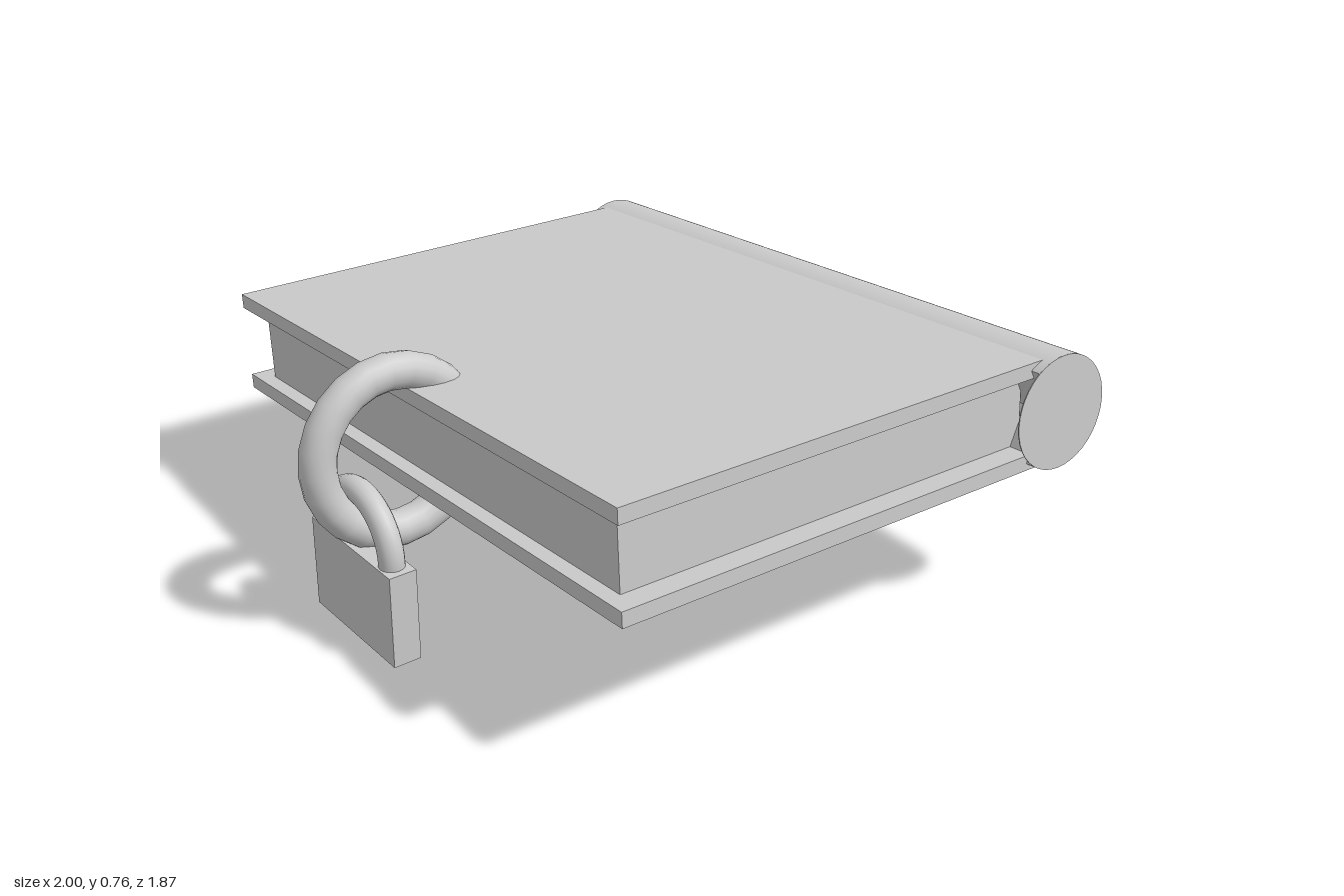
import * as THREE from 'three';

export function createModel() {
  const model = new THREE.Group();
  const smooth = new THREE.MeshStandardMaterial({ color: 0xcccccc });
  const flat = new THREE.MeshStandardMaterial({ color: 0xcccccc, flatShading: true });

  const add = (parent, name, geometry, material, x = 0, y = 0, z = 0) => {
    const mesh = new THREE.Mesh(geometry, material);
    mesh.name = name;
    mesh.position.set(x, y, z);
    parent.add(mesh);
    return mesh;
  };

  // Book, raised on its left side
  const book = new THREE.Group();
  book.name = 'book';
  book.position.set(-0.002, 0.512, 0);
  book.rotation.z = 0.0745;
  model.add(book);

  for (const [name, side] of [['topCover', 1], ['bottomCover', -1]]) {
    add(book, name, new THREE.BoxGeometry(1.926, 0.043, 1.37), flat, 0, side * 0.1285, -0.065);
  }
  add(book, 'pages', new THREE.BoxGeometry(1.79, 0.216, 1.3), flat, 0, 0, -0.075);

  // Rounded spine with a notch facing the pages
  const r = 0.158, length = 1.98, notch = 0.965;
  const profile = new THREE.Shape();
  profile.moveTo(-0.03, 0);
  profile.lineTo(-r * Math.cos(notch), r * Math.sin(notch));
  profile.absarc(0, 0, r, Math.PI - notch, Math.PI + notch, true);
  profile.closePath();
  const spineGeometry = new THREE.ExtrudeGeometry(profile, {
    depth: length, bevelEnabled: false, curveSegments: 40,
  });
  spineGeometry.translate(0, 0, -length / 2);
  const spine = add(book, 'spine', spineGeometry, smooth, 0, 0, -0.774);
  spine.rotation.y = Math.PI / 2;

  // Round plate closing the left end of the spine
  const cap = add(book, 'spineCap', new THREE.CylinderGeometry(r, r, 0.003, 40), smooth,
    length / 2, 0, -0.774);
  cap.rotation.z = Math.PI / 2;

  // Ring through both covers
  const ring = add(book, 'ring', new THREE.TorusGeometry(0.22, 0.05, 16, 24), smooth,
    0.022, -0.018, 0.665);
  ring.rotation.y = Math.PI / 2;

  // Padlock hanging from the ring
  const padlock = new THREE.Group();
  padlock.name = 'padlock';
  padlock.position.set(0.04, 0, 0.781);
  padlock.rotation.y = 0.03;
  model.add(padlock);
  add(padlock, 'padlockBody', new THREE.BoxGeometry(0.4, 0.268, 0.08), flat, 0, 0.134, 0);
  add(padlock, 'shackle', new THREE.TorusGeometry(0.146, 0.035, 16, 24, Math.PI), smooth, 0, 0.275, 0);
  for (const side of [-1, 1]) {
    add(padlock, 'shackleLeg', new THREE.CylinderGeometry(0.035, 0.035, 0.03, 16), smooth,
      side * 0.146, 0.26, 0);
  }
  return model;
}
